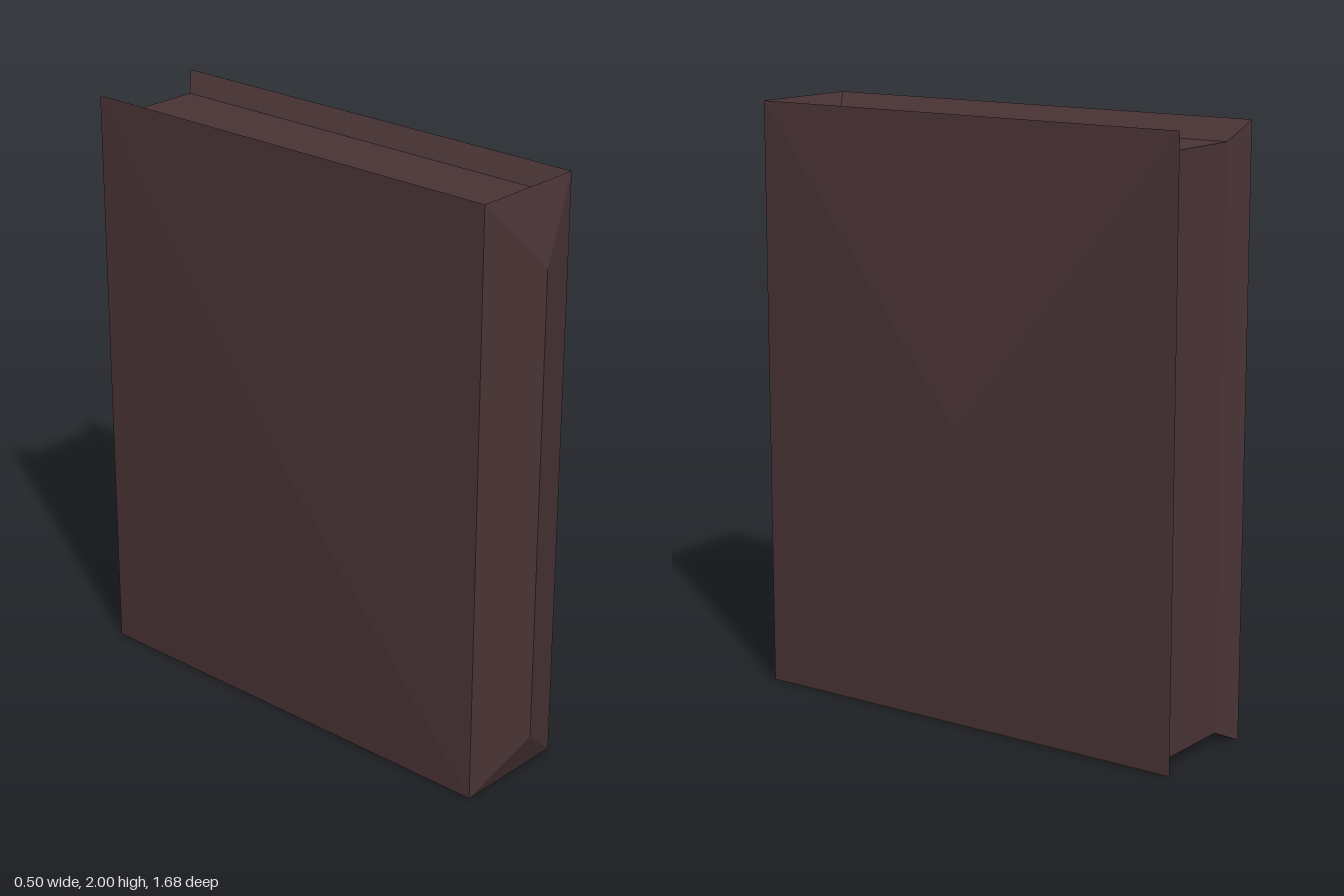
import * as THREE from 'three';

const V = (x, y, z) => new THREE.Vector3(x, y, z);

// Flat faces given as corner loops, each paired with the direction it should face
function faceted(name, faces, material) {
  const pos = [];
  for (const [dir, ...p] of faces) {
    const n = p[1].clone().sub(p[0]).cross(p[2].clone().sub(p[0]));
    const loop = n.dot(dir) < 0 ? [...p].reverse() : p;
    for (let i = 1; i < loop.length - 1; i++) {
      for (const v of [loop[0], loop[i], loop[i + 1]]) pos.push(v.x, v.y, v.z);
    }
  }
  const geo = new THREE.BufferGeometry();
  geo.setAttribute('position', new THREE.Float32BufferAttribute(pos, 3));
  geo.computeVertexNormals();
  const mesh = new THREE.Mesh(geo, material);
  mesh.name = name;
  return mesh;
}

export function createModel() {
  const book = new THREE.Group();
  book.name = 'book';
  const leather = new THREE.MeshStandardMaterial({ color: 0x483234 });
  leather.name = 'dark brown leather';

  const up = V(0, 1, 0), down = V(0, -1, 0), front = V(0, 0, 1), back = V(0, 0, -1);

  // Sharp outer rim of each cover and the recessed page block edge beside it
  const side = (xo, xi, zb) => ({
    o: { tf: V(xo, 2, 0.765), tb: V(xo, 2, zb), bf: V(xo, 0, 0.765), bb: V(xo, 0, zb) },
    i: { tf: V(xi, 1.935, 0.72), tb: V(xi, 1.935, -0.8), bf: V(xi, 0.035, 0.72), bb: V(xi, 0.035, -0.8) },
  });
  const L = side(0.21, 0.165, -0.84);
  const R = side(-0.2, -0.13, -0.845);

  // Covers: shallow pyramid outside, bevel down to the pages inside
  for (const [name, { o, i }, s] of [['leftCover', L, 1], ['rightCover', R, -1]]) {
    const out = V(s, 0, 0), inward = V(-s, 0, 0), apex = V(s * 0.25, 1, -0.04);
    const rim = [o.tf, o.tb, o.bb, o.bf];
    const faces = rim.map((p, k) => [out, p, rim[(k + 1) % 4], apex]);
    for (const [a, b] of [['tf', 'tb'], ['tb', 'bb'], ['bb', 'bf']]) {
      faces.push([inward, o[a], o[b], i[b], i[a]]);
    }
    book.add(faceted(name, faces, leather));
  }

  // Spine: hipped ridge in front, bevels at head and foot
  const r0 = V(0.01, 0.165, 0.84), r1 = V(0.01, 1.765, 0.84);
  book.add(faceted('spine', [
    [front, L.o.bf, L.o.tf, r1, r0],
    [front, R.o.bf, R.o.tf, r1, r0],
    [front, L.o.tf, R.o.tf, r1],
    [front, L.o.bf, R.o.bf, r0],
    [back, L.o.tf, R.o.tf, R.i.tf, L.i.tf],
    [back, L.o.bf, R.o.bf, R.i.bf, L.i.bf],
  ], leather));

  // Page block: head, foot and fore edge
  book.add(faceted('pages', [
    [up, L.i.tf, L.i.tb, R.i.tb, R.i.tf],
    [down, L.i.bf, L.i.bb, R.i.bb, R.i.bf],
    [back, L.i.tb, L.i.bb, R.i.bb, R.i.tb],
  ], leather));

  return book;
}
